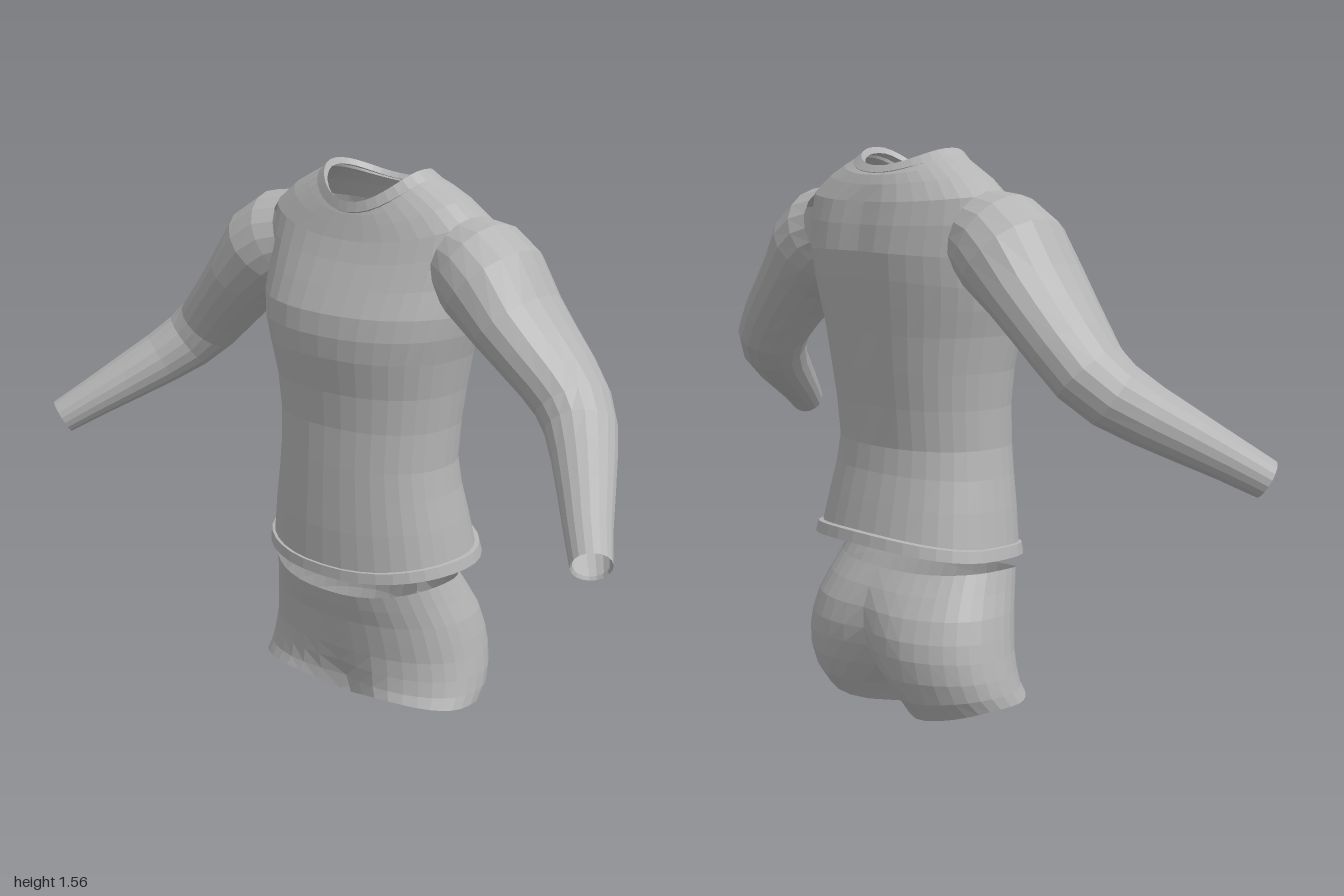
import * as THREE from 'three';

const clothGrey = new THREE.MeshStandardMaterial({ color: 0xb4b4b4, flatShading: true, side: THREE.DoubleSide });
clothGrey.name = 'clothGrey';

// Skin a list of equally long point rows; skip(i, j) leaves a quad open
function loft(name, rows, { flip = false, closed = true, skip = () => false } = {}) {
  const n = rows[0].length, index = [];
  for (let i = 0; i < rows.length - 1; i++) {
    for (let j = 0; j < (closed ? n : n - 1); j++) {
      if (skip(i, j)) continue;
      const k = (j + 1) % n;
      const a = i * n + j, b = i * n + k, c = b + n, d = a + n;
      if (flip) index.push(a, c, b, a, d, c);
      else index.push(a, b, c, a, c, d);
    }
  }
  const geo = new THREE.BufferGeometry().setFromPoints(rows.flat());
  geo.setIndex(index);
  geo.computeVertexNormals();
  const mesh = new THREE.Mesh(geo, clothGrey);
  mesh.name = name;
  return mesh;
}

const round = (v, n) => Math.sign(v) * Math.abs(v) ** (2 / n);

// Body ring: half width, front z, back z, then y at the front, side and back
function bodyRing([hw, zf, zb, yf, ys = yf, yb = ys, groove = 0], power = 2.25, sides = 36) {
  return Array.from({ length: sides }, (_, j) => {
    const a = j / sides * Math.PI * 2, c = Math.cos(a);
    const x = hw * round(Math.sin(a), power);
    let z = (zf + zb) / 2 + (zf - zb) / 2 * round(c, power);
    if (c < 0) z += groove * Math.max(0, 1 - Math.abs(x) / 0.12);
    return new THREE.Vector3(x, ys + ((c > 0 ? yf : yb) - ys) * c * c, z);
  });
}

// Sleeve sections: centre x, y, z, radius in height, radius in depth
const sleeve = [
  [0.29, 1.34, -0.09, 0.12, 0.135],
  [0.34, 1.325, -0.085, 0.135, 0.155],
  [0.395, 1.285, -0.08, 0.138, 0.166],
  [0.475, 1.2, -0.075, 0.112, 0.157],
  [0.54, 1.135, -0.077, 0.102, 0.143],
  [0.605, 1.07, -0.078, 0.096, 0.128],
  [0.66, 1.01, -0.07, 0.092, 0.115],
  [0.71, 0.957, -0.035, 0.088, 0.1],
  [0.765, 0.905, 0.03, 0.08, 0.086],
  [0.83, 0.847, 0.115, 0.07, 0.073],
  [0.89, 0.793, 0.195, 0.06, 0.062],
  [0.952, 0.738, 0.272, 0.052, 0.053],
  [0.948, 0.742, 0.267, 0.046, 0.047],
];

function makeSleeve(side) {
  const centres = sleeve.map(([x, y, z]) => new THREE.Vector3(x, y, z));
  const last = centres.length - 2;
  const rows = sleeve.map(([, , , r, d], i) => {
    const t = centres[Math.min(i + 1, last)].clone().sub(centres[Math.min(Math.max(i - 1, 0), last - 1)]).normalize();
    const w = new THREE.Vector3(0, 0, 1).addScaledVector(t, -t.z).normalize();
    const u = t.clone().cross(w);
    return Array.from({ length: 18 }, (_, j) => {
      const a = j / 18 * Math.PI * 2;
      const p = centres[i].clone().addScaledVector(w, d * Math.cos(a)).addScaledVector(u, r * Math.sin(a));
      p.x *= side;
      return p;
    });
  });
  return loft(side > 0 ? 'leftSleeve' : 'rightSleeve', rows, { flip: side < 0 });
}

// Brief rings, bottom up: half width, front z, back z, y front / side / back,
// inset of the centre line at front and back, drop of the centre line, inner x
const brief = [
  [0.365, 0.125, -0.225, 0.088, 0.066, 0.004, 0.06, 0.11, 0.045, 0.02],
  [0.363, 0.117, -0.27, 0.11, 0.1, 0.065, 0.055, 0.13, 0.02, 0],
  [0.357, 0.112, -0.295, 0.15, 0.145, 0.135, 0.02, 0.075, 0, 0],
  [0.347, 0.112, -0.305, 0.2, 0.2, 0.2, 0, 0.05, 0, 0],
  [0.338, 0.12, -0.302, 0.25, 0.25, 0.25, 0, 0.035, 0, 0],
  [0.325, 0.128, -0.283, 0.3, 0.31, 0.31, 0, 0.018, 0, 0],
  [0.306, 0.142, -0.25, 0.345, 0.37, 0.365, 0, 0.005, 0, 0],
  [0.29, 0.152, -0.213, 0.385, 0.427, 0.416, 0, 0, 0, 0],
];

function makeBriefHalf(side) {
  const arc = 20, inner = 8;
  const rows = brief.map(([hw, zf, zb, yf, ys, yb, inF, inB, drop, xin]) => {
    const row = [];
    // Outer arc from front centre to back centre
    for (let j = 0; j <= arc; j++) {
      const a = j / arc * Math.PI, c = Math.cos(a);
      const s = round(Math.max(0, Math.sin(a)), 2.3);
      const near = Math.max(0, 1 - s / 0.6) ** 2;
      const z = (zf + zb) / 2 + (zf - zb) / 2 * round(c, 2.3) + near * (c > 0 ? -inF : inB);
      const y = ys + ((c > 0 ? yf : yb) - ys) * c * c - (c > 0 ? near * drop : 0);
      row.push(new THREE.Vector3(side * (xin + (hw - xin) * s), y, z));
    }
    // Inner edge between the legs, from back to front
    const back = row[arc], front = row[0];
    for (let j = 1; j < inner; j++) row.push(back.clone().lerp(front, j / inner));
    return row;
  });
  return loft(side > 0 ? 'leftBriefHalf' : 'rightBriefHalf', rows, {
    flip: side < 0,
    skip: (i, j) => i > 0 && j >= arc,
  });
}

export function createModel() {
  const model = new THREE.Group();
  model.name = 'clothingSet';
  const shirt = new THREE.Group();
  shirt.name = 'shirt';
  const briefs = new THREE.Group();
  briefs.name = 'briefs';
  model.add(shirt, briefs);

  // Shirt body from hem to neck
  shirt.add(loft('shirtBody', [
    [0.312, 0.163, -0.285, 0.465, 0.495, 0.525],
    [0.296, 0.163, -0.265, 0.575, 0.595, 0.61],
    [0.28, 0.16, -0.245, 0.67, 0.68, 0.69],
    [0.27, 0.157, -0.235, 0.76],
    [0.274, 0.152, -0.246, 0.87, 0.87, 0.87, 0.008],
    [0.286, 0.158, -0.26, 0.97, 0.97, 0.97, 0.012],
    [0.305, 0.176, -0.272, 1.07, 1.07, 1.07, 0.015],
    [0.325, 0.178, -0.282, 1.13, 1.14, 1.15, 0.015],
    [0.337, 0.168, -0.29, 1.19, 1.2, 1.22, 0.015],
    [0.342, 0.135, -0.294, 1.255, 1.28, 1.29, 0.015],
    [0.35, 0.1, -0.28, 1.32, 1.37, 1.36, 0.012],
    [0.345, 0.075, -0.262, 1.375, 1.44, 1.42, 0.008],
    [0.28, 0.062, -0.24, 1.415, 1.49, 1.465],
    [0.22, 0.054, -0.226, 1.44, 1.522, 1.49],
    [0.165, 0.046, -0.207, 1.46, 1.55, 1.505],
  ].map((r) => bodyRing(r))));

  // Flared hem band with an inner fold
  shirt.add(loft('hemBand', [
    [0.31, 0.155, -0.285, 0.455, 0.485, 0.515],
    [0.329, 0.172, -0.305, 0.437, 0.467, 0.497],
    [0.322, 0.17, -0.298, 0.467, 0.498, 0.528],
    [0.31, 0.162, -0.283, 0.468, 0.5, 0.53],
  ].map((r) => bodyRing(r))));

  // Collar band with an inner fold
  shirt.add(loft('collar', [
    [0.19, 0.048, -0.215, 1.443, 1.533, 1.492],
    [0.186, 0.058, -0.222, 1.448, 1.54, 1.497],
    [0.157, 0.053, -0.208, 1.475, 1.562, 1.515],
    [0.148, 0.042, -0.196, 1.465, 1.545, 1.502],
  ].map((r) => bodyRing(r, 2.1))));

  for (const side of [1, -1]) {
    shirt.add(makeSleeve(side));
    briefs.add(makeBriefHalf(side));
  }
  return model;
}
